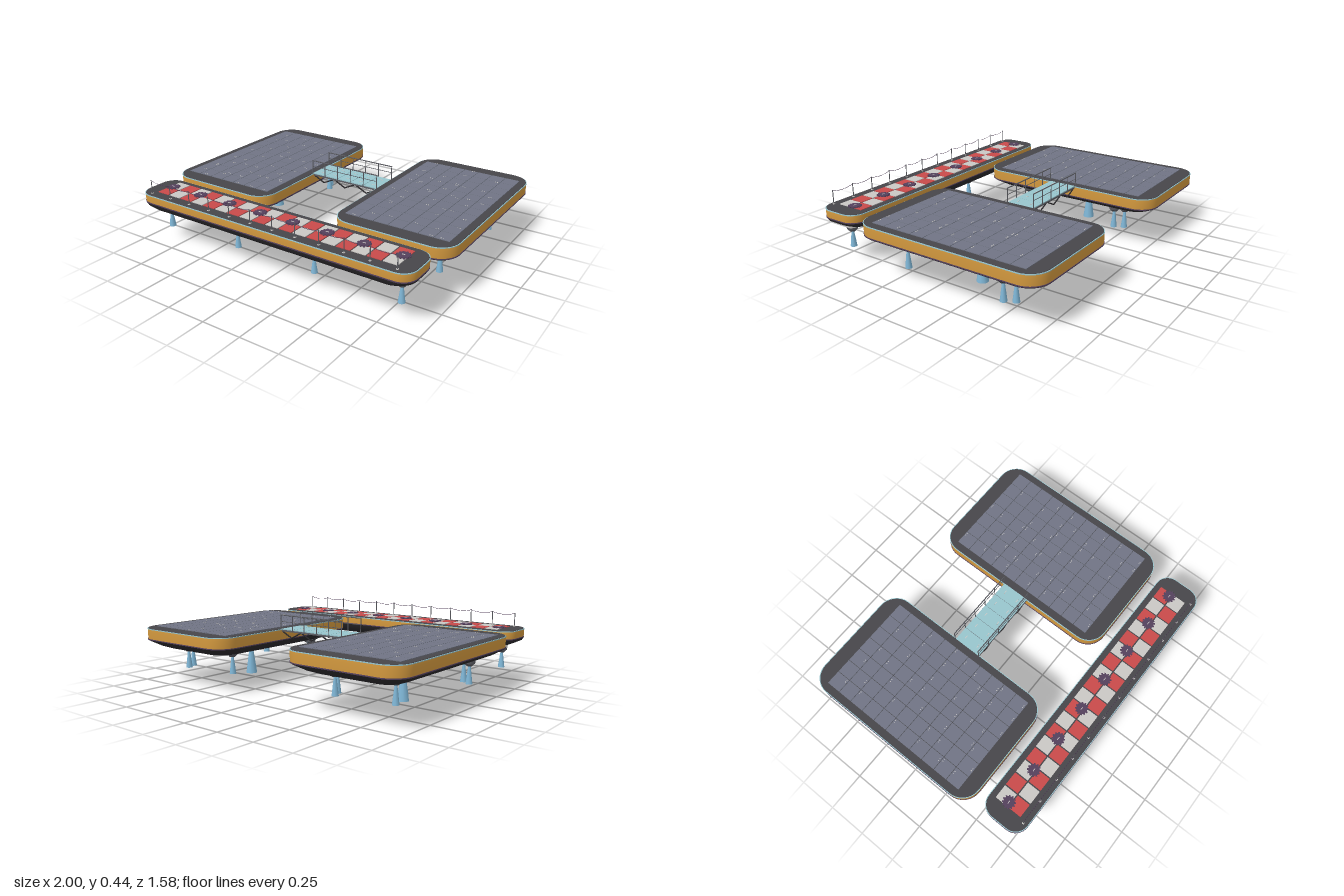
import * as THREE from 'three';
import { mergeGeometries, toCreasedNormals } from 'three/addons/utils/BufferGeometryUtils.js';

const mat = (name, color, side = THREE.FrontSide) => {
  const m = new THREE.MeshStandardMaterial({ color, side });
  m.name = name;
  return m;
};
const M = {
  hull: mat('hull black', 0x2b292c),
  orange: mat('band orange', 0xd2983e),
  purple: mat('trim purple', 0x54405c),
  deck: mat('deck charcoal', 0x47464a),
  panel: mat('panel slate', 0x707484),
  red: mat('tile red', 0xc94a4a),
  white: mat('tile white', 0xcac7c4),
  teal: mat('bridge teal', 0x98c5cd),
  flame: mat('jet blue', 0x7fb6d6, THREE.DoubleSide),
  steel: mat('steel grey', 0x5c5d63),
};

function add(parent, name, geometry, material, x = 0, y = 0, z = 0) {
  const mesh = new THREE.Mesh(geometry, material);
  mesh.name = name;
  mesh.position.set(x, y, z);
  parent.add(mesh);
  return mesh;
}

const boxAt = (w, h, d, x, y, z) => new THREE.BoxGeometry(w, h, d).translate(x, y, z);

// Thin bar between two points
function bar(a, b, r = 0.003) {
  const p = new THREE.Vector3(...a), q = new THREE.Vector3(...b), d = q.clone().sub(p);
  const g = new THREE.CylinderGeometry(r, r, d.length(), 6);
  g.applyQuaternion(new THREE.Quaternion().setFromUnitVectors(new THREE.Vector3(0, 1, 0), d.normalize()));
  return g.translate(...p.add(q).multiplyScalar(0.5).toArray());
}

// Closed solid of rounded-rectangle rings, listed top to bottom as [halfX, halfZ, radius, y]
function ringSolid(rings) {
  const pos = [], idx = [], steps = 8, n = 4 * (steps + 1);
  for (const [hx, hz, r, y] of rings) {
    for (let k = 0; k < n; k++) {
      const c = Math.floor(k / (steps + 1));
      const a = (c + (k % (steps + 1)) / steps) * Math.PI / 2;
      const sx = c === 0 || c === 3 ? 1 : -1, sz = c < 2 ? -1 : 1;
      pos.push(sx * (hx - r) + r * Math.cos(a), y, sz * (hz - r) - r * Math.sin(a));
    }
  }
  const last = rings.length - 1, top = n * rings.length;
  pos.push(0, rings[0][3], 0, 0, rings[last][3], 0);
  for (let k = 0; k < n; k++) {
    const j = (k + 1) % n;
    for (let i = 0; i < last; i++) {
      const t = i * n, b = t + n;
      idx.push(b + k, b + j, t + j, b + k, t + j, t + k);
    }
    idx.push(top, k, j, top + 1, last * n + j, last * n + k);
  }
  const g = new THREE.BufferGeometry();
  g.setAttribute('position', new THREE.Float32BufferAttribute(pos, 3));
  g.setIndex(idx);
  return toCreasedNormals(g, 0.55);
}

// Deck, trims, painted band and hull, shared by every floating body
function floatingBody(name, hx, hz, r, bandY, hullRings) {
  const g = new THREE.Group();
  g.name = name;
  const inset = (d, y) => [hx - d, hz - d, r - d, y];
  add(g, 'deck', ringSolid([inset(0.006, 0.349), inset(0.004, 0.344)]), M.deck);
  add(g, 'edgeTrim', ringSolid([inset(0, 0.346), inset(0, 0.341)]), M.teal);
  add(g, 'sideBand', ringSolid([inset(0.002, 0.341), inset(0.001, 0.325), inset(0.003, bandY)]), M.orange);
  add(g, 'lowerTrim', ringSolid([inset(0, bandY), inset(0, bandY - 0.006)]), M.purple);
  add(g, 'hull', ringSolid(hullRings), M.hull);
  return g;
}

// Downward jet: collar, nozzle lip and flaring exhaust
function thruster(parent, x, z, top, s, bottom, collarMat = M.steel) {
  const g = new THREE.Group();
  g.name = 'thruster';
  g.position.set(x, 0, z);
  const lip = top - 0.035;
  add(g, 'collar', new THREE.CylinderGeometry(0.036 * s, 0.032 * s, 0.02, 12), collarMat, 0, top - 0.01);
  add(g, 'nozzle', new THREE.CylinderGeometry(0.032 * s, 0.018 * s, 0.016, 12), M.steel, 0, top - 0.027);
  const h = lip + 0.004 - bottom;
  add(g, 'jet', new THREE.CylinderGeometry(0.007 * s, 0.021 * s, h, 10), M.flame, 0, bottom + h / 2);
  parent.add(g);
}

// Large platform with a panelled deck
function platform(name, seed) {
  const hx = 0.381, hz = 0.616, r = 0.125;
  const g = floatingBody(name, hx, hz, r, 0.28, [
    [hx, hz, r, 0.276], [hx - 0.006, hz - 0.006, r, 0.268], [hx - 0.06, hz - 0.06, 0.11, 0.236],
    [hx - 0.11, hz - 0.11, 0.09, 0.217], [hx - 0.17, hz - 0.22, 0.07, 0.2]]);
  let s = seed;
  const rnd = () => (s = (s * 16807) % 2147483647) / 2147483647;
  const tiles = [], studs = [], p = 0.0946;
  for (let i = 0; i < 7; i++) {
    for (let j = 0; j < 11; j++) {
      const x = (i - 3) * p, z = (j - 5) * p;
      tiles.push(boxAt(p - 0.003, 0.005, p - 0.003, x, 0.3505, z));
      if (rnd() < 0.6) {
        const dx = (rnd() - 0.5) * 0.05, dz = (rnd() < 0.5 ? -1 : 1) * 0.036;
        for (const e of [0, 0.014]) studs.push(boxAt(0.005, 0.003, 0.005, x + dx + e, 0.354, z + dz));
      }
    }
  }
  add(g, 'deckPanels', mergeGeometries(tiles), M.panel);
  add(g, 'deckStuds', mergeGeometries(studs), M.white);
  // Jets sit in three singles and two pairs
  thruster(g, 0, 0.003, 0.205, 1.75, 0);
  for (const [x, z] of [[-0.18, 0.385], [-0.235, 0.35], [0.215, 0.37], [-0.17, -0.325], [0.23, -0.31], [0.2, -0.37]])
    thruster(g, x, z, 0.214, 1, 0.07);
  return g;
}

// Narrow front barge with chequered deck, hatches and a roped edge
function barge() {
  const hx = 0.95, hz = 0.144, r = 0.09;
  const g = floatingBody('frontBarge', hx, hz, r, 0.297, [
    [hx, hz, r, 0.292], [0.94, 0.138, 0.088, 0.274], [0.89, 0.118, 0.08, 0.25],
    [0.82, 0.09, 0.07, 0.232], [0.74, 0.055, 0.05, 0.222], [0.66, 0.02, 0.018, 0.218]]);
  const sets = [[], []], p = 0.0946;
  for (let i = 0; i < 18; i++)
    for (let j = 0; j < 2; j++)
      sets[(i + j) % 2].push(boxAt(p - 0.008, 0.005, p - 0.008, (i - 8.5) * p, 0.3505, (j - 0.5) * p - 0.012));
  add(g, 'whiteTiles', mergeGeometries(sets[0]), M.white);
  add(g, 'redTiles', mergeGeometries(sets[1]), M.red);

  // Toothed round hatches
  for (let i = 0; i < 8; i++) {
    const h = new THREE.Group();
    h.name = 'hatch';
    h.position.set((i - 3.5) * 0.235, 0.353, -0.025);
    const teeth = [];
    for (let k = 0; k < 12; k++) teeth.push(boxAt(0.01, 0.005, 0.009, 0.036, 0.0025, 0).rotateY(k * Math.PI / 6));
    add(h, 'hatchDisc', new THREE.CylinderGeometry(0.034, 0.034, 0.006, 20), M.purple, 0, 0.003);
    add(h, 'hatchTeeth', mergeGeometries(teeth), M.purple);
    add(h, 'hatchHandle', new THREE.BoxGeometry(0.02, 0.003, 0.004), M.white, 0, 0.007);
    g.add(h);
  }

  // Posts joined by a sagging rope
  const posts = [], ropes = [], feet = [], step = 0.157, z = 0.112;
  for (let i = 0; i < 12; i++) {
    const x = (i - 5.5) * step;
    posts.push(bar([x, 0.345, z], [x, 0.437, z], 0.0028));
    feet.push(boxAt(0.012, 0.004, 0.012, x, 0.351, z));
    if (i < 11) {
      const curve = new THREE.QuadraticBezierCurve3(new THREE.Vector3(x, 0.433, z),
        new THREE.Vector3(x + step / 2, 0.41, z), new THREE.Vector3(x + step, 0.433, z));
      ropes.push(new THREE.TubeGeometry(curve, 8, 0.0014, 4));
    }
  }
  add(g, 'ropePosts', mergeGeometries(posts), M.steel);
  add(g, 'postFeet', mergeGeometries(feet), M.white);
  add(g, 'rope', mergeGeometries(ropes), M.purple);

  for (const side of [-1, 1]) {
    add(g, 'endMount', new THREE.CylinderGeometry(0.038, 0.036, 0.035, 14), M.white, side * 0.835, 0.24, 0);
    thruster(g, side * 0.835, 0, 0.228, 1, 0.095);
    thruster(g, side * 0.28, 0, 0.222, 0.95, 0.098);
  }
  return g;
}

// Walkway joining the platforms
function bridge() {
  const g = new THREE.Group();
  g.name = 'bridge';
  add(g, 'walkwayBase', new THREE.BoxGeometry(0.49, 0.01, 0.186), M.steel, 0, 0.338);
  const plates = [], marks = [], rails = [], truss = [], w = 0.098;
  for (let i = 0; i < 5; i++) {
    plates.push(boxAt(w - 0.003, 0.006, 0.182, (i - 2) * w, 0.346, 0));
    for (const z of [-0.048, 0.048]) marks.push(boxAt(0.025, 0.002, 0.004, (i - 2) * w, 0.3495, z));
  }
  for (const z of [-0.094, 0.094]) {
    for (let i = 0; i < 6; i++) rails.push(bar([(i - 2.5) * w, 0.335, z], [(i - 2.5) * w, 0.437, z]));
    for (const y of [0.437, 0.396]) rails.push(bar([-0.247, y, z], [0.247, y, z], y > 0.4 ? 0.0035 : 0.002));
    // Zigzag bracing below the walkway
    for (let i = 0; i < 6; i++) {
      const x = -0.245 + i * 0.0817, up = i % 2 ? 0.295 : 0.335;
      truss.push(bar([x, up, z * 0.9], [x + 0.0817, 0.63 - up, z * 0.9], 0.0045));
    }
  }
  add(g, 'walkwayPlates', mergeGeometries(plates), M.teal);
  add(g, 'walkwayMarks', mergeGeometries(marks), M.white);
  add(g, 'handrails', mergeGeometries(rails), M.steel);
  add(g, 'truss', mergeGeometries(truss), M.hull);
  return g;
}

export function createModel() {
  const model = new THREE.Group();
  model.name = 'floatingPlatforms';
  const left = platform('leftPlatform', 7), right = platform('rightPlatform', 91);
  left.position.set(0.619, 0, -0.173);
  right.position.set(-0.619, 0, -0.173);
  const front = barge(), link = bridge();
  front.position.z = 0.645;
  link.position.z = -0.173;
  model.add(left, right, front, link);
  return model;
}
